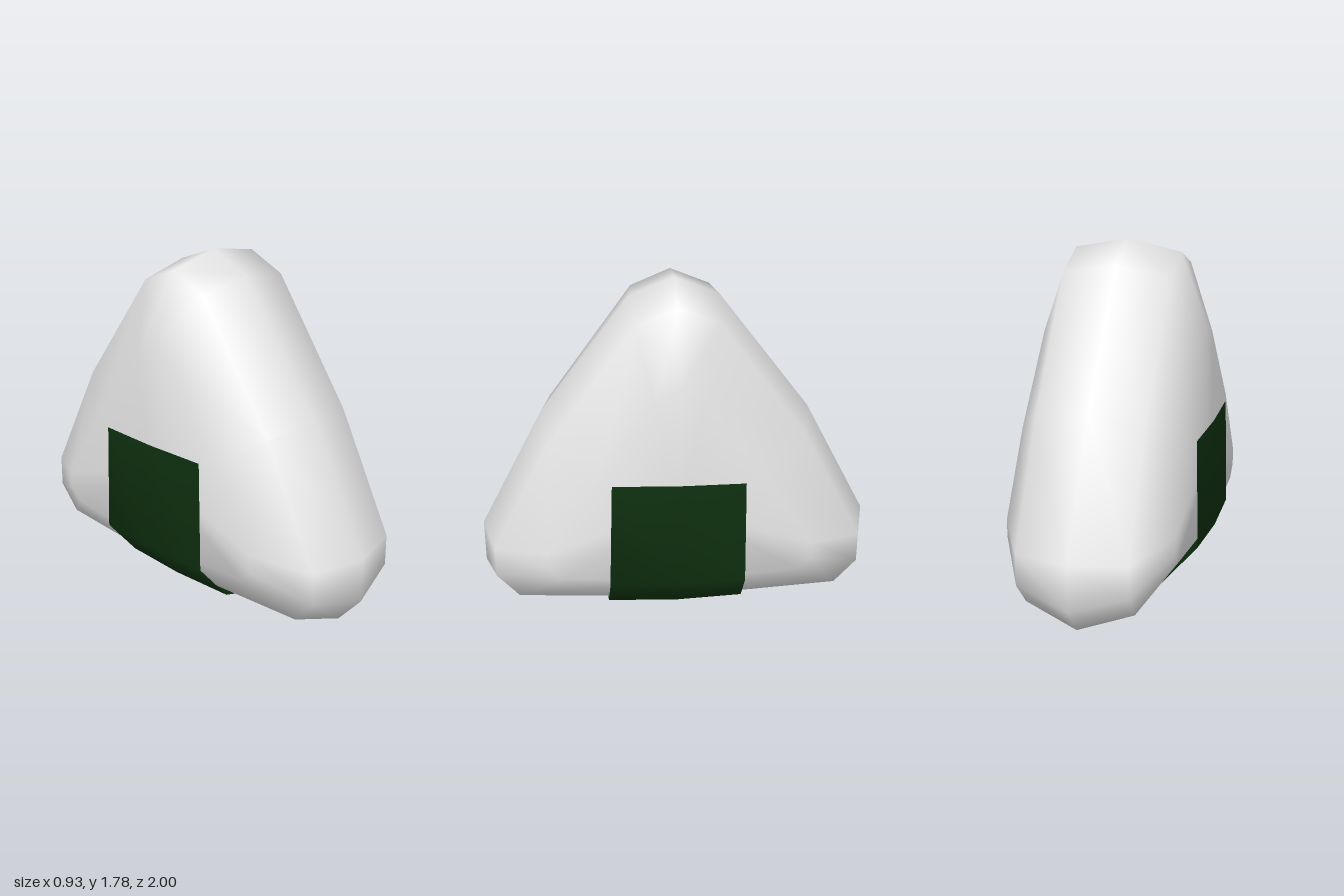
import * as THREE from 'three';

const riceWhite = new THREE.MeshStandardMaterial({ color: 0xe6e6e6 });
riceWhite.name = 'riceWhite';
const seaweedGreen = new THREE.MeshStandardMaterial({ color: 0x0e300f, side: THREE.DoubleSide });
seaweedGreen.name = 'seaweedGreen';

function buildMesh(name, points, index, material) {
  const geometry = new THREE.BufferGeometry();
  geometry.setAttribute('position', new THREE.Float32BufferAttribute(points.flat(), 3));
  geometry.setIndex(index);
  geometry.computeVertexNormals();
  const mesh = new THREE.Mesh(geometry, material);
  mesh.name = name;
  return mesh;
}

// Half outlines [x, y, z] from the tip down the front to the base
const middle = [[0, 1.79, 0], [0, 1.7, 0.22], [0, 1.08, 0.68], [0, 0.46, 1], [0, 0.23, 1], [0, 0.08, 0.87], [0, 0.04, 0]];
const shoulder = [[0.27, 1.735, 0], [0.27, 1.65, 0.2], [0.27, 1.05, 0.63], [0.275, 0.46, 0.93], [0.275, 0.3, 0.93], [0.27, 0.17, 0.82], [0.27, 0.12, 0]];
const face = [[0.405, 1.38, 0], [0.405, 1.32, 0.12], [0.42, 0.9, 0.42], [0.42, 0.51, 0.66], [0.42, 0.42, 0.66], [0.42, 0.36, 0.6], [0.45, 0.34, 0]];

// Close a half outline into a ring, on the left (+1) or right (-1) side
function ring(half, side) {
  const back = half.slice(1, -1).reverse().map(([x, y, z]) => [x, y, -z]);
  return [...half, ...back].map(([x, y, z]) => [x * side, y, z]);
}

function createRice() {
  const rings = [ring(face, -1), ring(shoulder, -1), ring(middle, 1), ring(shoulder, 1), ring(face, 1)];
  const n = rings[0].length;
  const points = [...rings.flat(), [-0.44, 0.75, 0], [0.44, 0.75, 0]];
  const rightCentre = rings.length * n;
  const leftCentre = rightCentre + 1;
  const last = (rings.length - 1) * n;
  const index = [];
  for (let i = 0; i < n; i++) {
    const j = (i + 1) % n;
    for (let r = 0; r < last; r += n) {
      index.push(r + i, r + j, r + n + j, r + i, r + n + j, r + n + i);
    }
    index.push(rightCentre, j, i, leftCentre, last + i, last + j);
  }
  return buildMesh('riceBody', points, index, riceWhite);
}

// Seaweed strip running down one face, under the base and up the other
function createSeaweed() {
  const columns = [
    { z: [-0.33, -0.33, -0.325, -0.32], path: [[0, 0.035], [0.272, 0.115], [0.45, 0.325], [0.438, 0.88]] },
    { z: [0, 0, 0, 0], path: [[0, 0.005], [0.272, 0.1], [0.465, 0.322], [0.449, 0.885]] },
    { z: [0.365, 0.362, 0.355, 0.335], path: [[0, 0.035], [0.272, 0.115], [0.45, 0.325], [0.438, 0.89]] },
  ];
  const points = columns.flatMap(({ z, path }) => {
    const left = path.map(([x, y], i) => [x, y, z[i]]);
    const right = left.slice(1).reverse().map(([x, y, d]) => [-x, y, d]);
    return [...right, ...left];
  });
  const n = points.length / columns.length;
  const index = [];
  for (let c = 0; c < columns.length - 1; c++) {
    for (let i = 0; i < n - 1; i++) {
      const a = c * n + i;
      index.push(a, a + 1, a + n + 1, a, a + n + 1, a + n);
    }
  }
  return buildMesh('seaweedWrap', points, index, seaweedGreen);
}

export function createModel() {
  const model = new THREE.Group();
  model.name = 'riceBall';
  model.add(createRice(), createSeaweed());
  return model;
}
